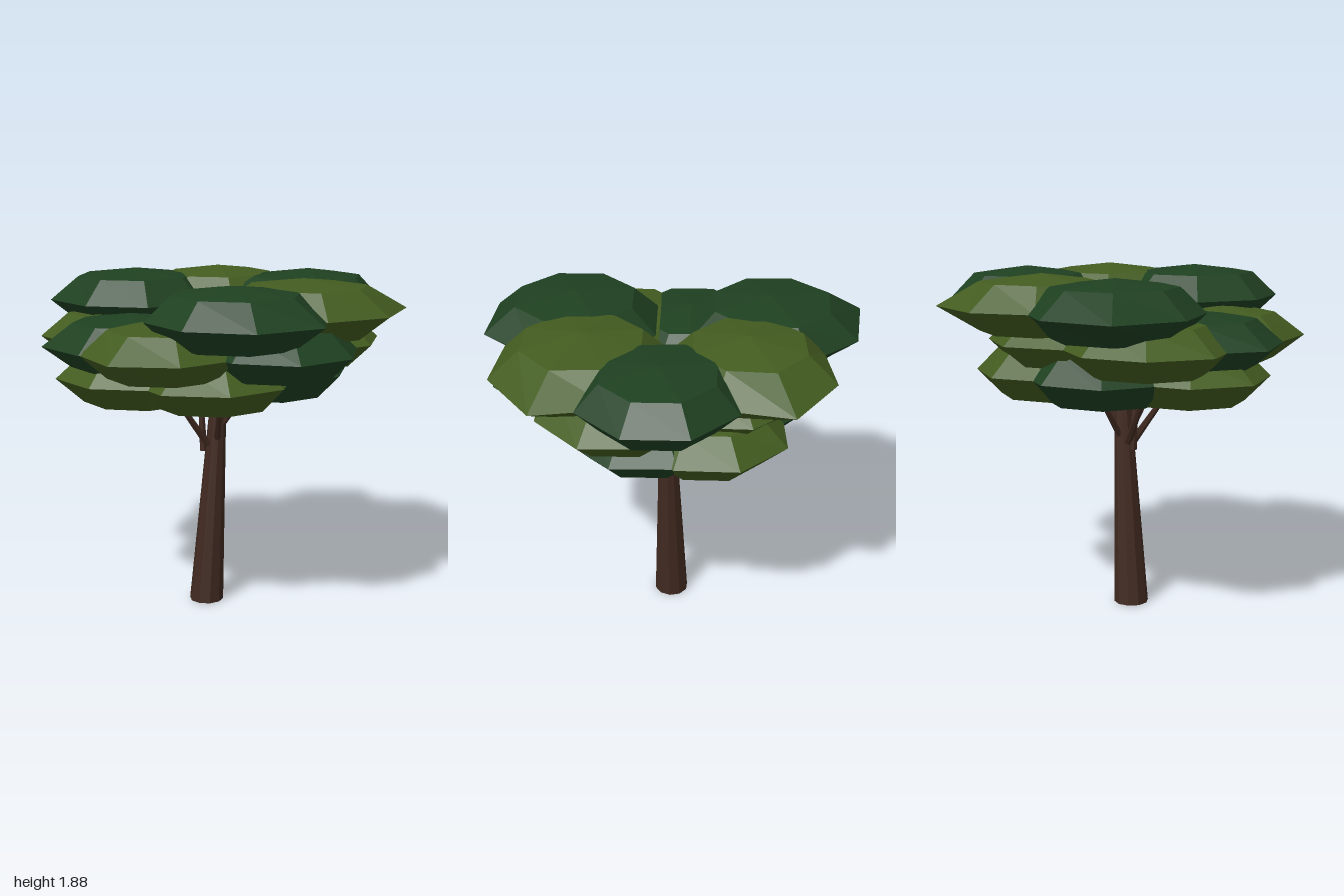
import * as THREE from 'three';

export function createModel() {
  const tree = new THREE.Group();
  tree.name = 'tree';

  const flat = (name, color) => {
    const m = new THREE.MeshStandardMaterial({ color, flatShading: true });
    m.name = name;
    return m;
  };
  const dark = flat('darkLeaf', 0x1f4021);
  const light = flat('lightLeaf', 0x435c20);
  const bark = flat('bark', 0x402920);

  // Flattened eight-sided clump whose rim bulges in one direction (degrees from +x towards +z)
  function clump(name, material, x, y, z, height, radius, bulge, heading) {
    const geo = new THREE.SphereGeometry(1, 8, 4);
    const p = geo.attributes.position;
    const dir = THREE.MathUtils.degToRad(heading);
    for (let i = 0; i < p.count; i++) {
      const px = p.getX(i), py = p.getY(i), pz = p.getZ(i);
      const toward = Math.max(0, Math.cos(Math.atan2(pz, px) - dir));
      const shoulder = Math.abs(py) > 0.1 && Math.abs(py) < 0.9;
      const r = radius + bulge * toward ** 3 * (shoulder ? 0.3 : 1);
      p.setXYZ(i, px * r, py * height * (shoulder ? 1.07 : 1), pz * r);
    }
    geo.computeVertexNormals();
    const mesh = new THREE.Mesh(geo, material);
    mesh.name = name;
    mesh.position.set(x, y, z);
    tree.add(mesh);
  }

  // Foliage tiers; each clump is material, x, z, radius, bulge, heading
  function tier(name, y, height, clumps) {
    clumps.forEach(([material, x, z, radius, bulge, heading], i) =>
      clump(name + (i + 1), material, x, y, z, height, radius, bulge, heading));
  }
  tier('lowerFoliage', 1.345, 0.175, [
    [dark, 0.28, -0.06, 0.44, 0.01, 0],
    [light, -0.1, 0.22, 0.44, 0.03, 135],
    [light, 0.18, -0.36, 0.43, 0.02, 270],
    [dark, -0.17, -0.33, 0.43, 0.02, 225],
    [light, -0.46, 0, 0.43, 0.03, 180],
  ]);
  tier('middleFoliage', 1.525, 0.165, [
    [dark, -0.5, 0.02, 0.44, 0.05, 180],
    [light, -0.37, 0.33, 0.43, 0.05, 135],
    [dark, 0.21, 0.4, 0.43, 0.03, 90],
    [light, 0.42, 0.03, 0.44, 0.02, 0],
    [light, 0.05, -0.37, 0.43, 0.03, 270],
    [light, -0.5, -0.35, 0.44, 0.03, 180],
  ]);
  tier('upperFoliage', 1.71, 0.172, [
    [dark, -0.41, -0.48, 0.46, 0.09, 225],
    [light, 0.08, -0.54, 0.43, 0.13, 315],
    [dark, 0.55, -0.25, 0.43, 0.1, 180],
    [light, 0.39, 0.24, 0.46, 0.12, 0],
    [dark, -0.04, 0.5, 0.47, 0.05, 45],
  ]);

  // Leaning trunk, sheared so that the foot stays level
  const height = 1.3;
  const trunkGeo = new THREE.CylinderGeometry(0.04, 0.097, height, 10);
  trunkGeo.translate(0, height / 2, 0);
  const tp = trunkGeo.attributes.position;
  for (let i = 0; i < tp.count; i++) tp.setX(i, tp.getX(i) - 0.086 + 0.06 * tp.getY(i));
  trunkGeo.computeVertexNormals();
  const trunk = new THREE.Mesh(trunkGeo, bark);
  trunk.name = 'trunk';
  trunk.position.z = -0.05;
  tree.add(trunk);

  // Branches reaching from the trunk into the foliage
  const up = new THREE.Vector3(0, 1, 0);
  function branch(from, to, bottomRadius, topRadius) {
    const a = new THREE.Vector3(...from), b = new THREE.Vector3(...to);
    const dir = b.clone().sub(a);
    const geo = new THREE.CylinderGeometry(topRadius, bottomRadius, dir.length(), 6);
    const mesh = new THREE.Mesh(geo, bark);
    mesh.name = 'branch';
    mesh.position.copy(a).add(b).multiplyScalar(0.5);
    mesh.quaternion.setFromUnitVectors(up, dir.normalize());
    tree.add(mesh);
  }
  for (const s of [-1, 1]) {
    branch([-0.08, 0.93, -0.05 + s * 0.02], [-0.3, 1.26, -0.05 + s * 0.1], 0.022, 0.012);
    branch([-0.03, 0.95, -0.05 + s * 0.025], [-0.05, 1.26, -0.05 + s * 0.24], 0.02, 0.012);
    branch([-0.01, 1.02, -0.05 + s * 0.01], [0.13, 1.26, -0.05 + s * 0.12], 0.018, 0.012);
  }
  branch([-0.1, 0.89, -0.05], [-0.12, 1.26, -0.05], 0.022, 0.014);

  return tree;
}
